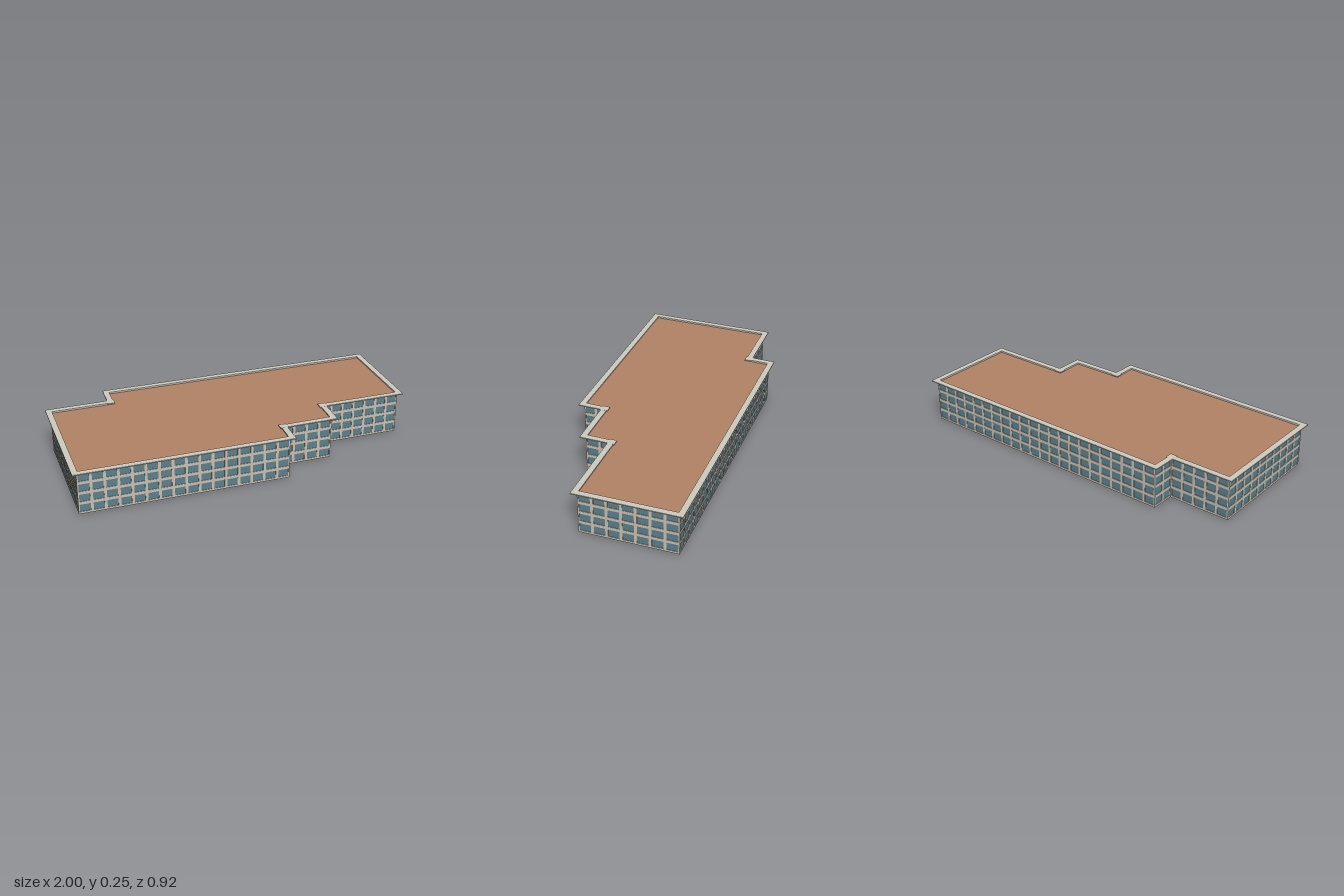
import * as THREE from 'three';

const HEIGHT = 0.25, FLOORS = 4, FLOOR_H = 0.06, BAY = 0.073;
const mat = (color) => new THREE.MeshStandardMaterial({ color, side: THREE.DoubleSide });
const wallMat = mat(0xcbc0b1), glassMat = mat(0x5c808c), trimMat = mat(0xcfccc0), roofMat = mat(0xb38365);

// Eaves outline as [x, z], clockwise seen from above
const eaves = [
  [-1.0, -0.303], [-0.645, -0.309], [-0.643, -0.443], [0.988, -0.462], [1.0, 0.128],
  [0.52, 0.135], [0.52, 0.297], [0.222, 0.304], [0.222, 0.44], [-0.99, 0.455],
].map(([x, z]) => new THREE.Vector2(x, z));

const inward = (a, b) => {
  const d = b.clone().sub(a).normalize();
  return new THREE.Vector2(-d.y, d.x);
};

// Move every edge of the outline inward by a distance, with mitred corners
function inset(points, dist) {
  return points.map((p, i) => {
    const n1 = inward(points.at(i - 1), p);
    const n2 = inward(p, points[(i + 1) % points.length]);
    const m = n1.clone().add(n2);
    return p.clone().addScaledVector(m, dist / (1 + n1.dot(n2)));
  });
}

const planPoints = (points) => points.map((p) => new THREE.Vector2(p.x, -p.y));

// Horizontal slab from a plan outline, with an optional opening
function slab(name, outer, hole, y, thickness, material) {
  const shape = new THREE.Shape(planPoints(outer));
  if (hole) shape.holes.push(new THREE.Path(planPoints(hole)));
  const geo = new THREE.ExtrudeGeometry(shape, { depth: thickness, bevelEnabled: false });
  geo.rotateX(-Math.PI / 2).translate(0, y, 0);
  const mesh = new THREE.Mesh(geo, material);
  mesh.name = name;
  return mesh;
}

function rectPath(x, y, w, h) {
  return new THREE.Path([[x, y], [x, y + h], [x + w, y + h], [x + w, y]].map((p) => new THREE.Vector2(...p)));
}

// One facade: a thin wall pierced by a window grid, with glass set behind it
function facade(a, b) {
  const group = new THREE.Group();
  group.name = 'facade';
  const length = a.distanceTo(b);
  const bays = Math.max(1, Math.round(length / BAY));
  const pitch = length / bays, top = HEIGHT - 0.005;
  const shape = new THREE.Shape([
    new THREE.Vector2(0, 0), new THREE.Vector2(length, 0),
    new THREE.Vector2(length, top), new THREE.Vector2(0, top),
  ]);
  for (let f = 0; f < FLOORS; f++) {
    for (let i = 0; i < bays; i++) {
      shape.holes.push(rectPath((i + 0.1) * pitch, 0.012 + f * FLOOR_H, pitch * 0.8, 0.043));
    }
  }
  const wall = new THREE.Mesh(new THREE.ExtrudeGeometry(shape, { depth: 0.005, bevelEnabled: false }), wallMat);
  wall.name = 'wall';
  const glass = new THREE.Mesh(new THREE.PlaneGeometry(length - 0.008, top - 0.008), glassMat);
  glass.position.set(length / 2, top / 2, 0.0025);
  glass.name = 'windows';
  group.add(wall, glass);
  group.position.set(a.x, 0, a.y);
  group.rotation.y = -Math.atan2(b.y - a.y, b.x - a.x);
  return group;
}

export function createModel() {
  const model = new THREE.Group();
  model.name = 'building';

  // Outer walls, open underneath
  const footprint = inset(eaves, 0.025);
  footprint.forEach((p, i) => model.add(facade(p, footprint[(i + 1) % footprint.length])));

  // Roof deck, slightly below the coping
  model.add(slab('roof', inset(eaves, 0.027), null, 0.236, 0.003, roofMat));

  // Overhanging coping around the roof
  model.add(slab('coping', eaves, inset(eaves, 0.033), HEIGHT - 0.006, 0.006, trimMat));

  // Coping blocks where the outline turns inward
  const middle = inset(eaves, 0.018);
  eaves.forEach((p, i) => {
    const before = p.clone().sub(eaves.at(i - 1));
    const after = eaves[(i + 1) % eaves.length].clone().sub(p);
    if (before.cross(after) > 0) return;
    const block = new THREE.Mesh(new THREE.BoxGeometry(0.042, 0.006, 0.042), trimMat);
    block.position.set(middle[i].x, HEIGHT - 0.0028, middle[i].y);
    block.name = 'copingCorner';
    model.add(block);
  });
  return model;
}
